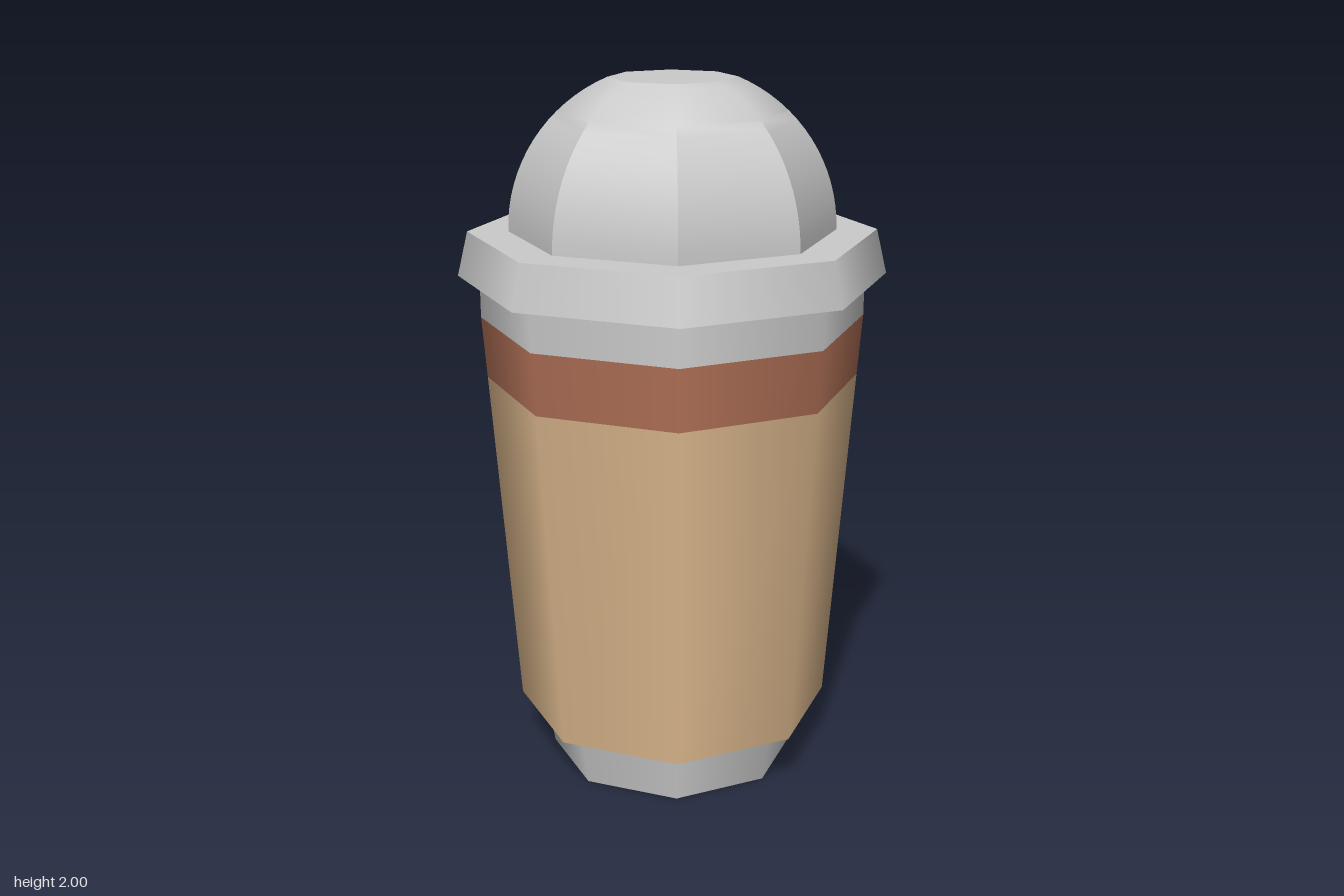
import * as THREE from 'three';
import { toCreasedNormals } from 'three/addons/utils/BufferGeometryUtils.js';

const SIDES = 8;

export function createModel() {
  const model = new THREE.Group();
  model.name = 'takeawayCup';

  const grey = new THREE.MeshStandardMaterial({ color: 0xcccccc });
  const tan = new THREE.MeshStandardMaterial({ color: 0xdbb78c });
  const rust = new THREE.MeshStandardMaterial({ color: 0xb17157 });

  const add = (name, geometry, material) => {
    const mesh = new THREE.Mesh(geometry, material);
    mesh.name = name;
    model.add(mesh);
  };

  // Eight-sided tapered band between two heights
  const band = (name, y0, y1, r0, r1, material, open) => {
    const geometry = new THREE.CylinderGeometry(r1, r0, y1 - y0, SIDES, 1, open);
    geometry.translate(0, (y0 + y1) / 2, 0);
    add(name, geometry, material);
  };

  // Cup, from the foot up to the lid
  band('base', 0, 0.165, 0.36, 0.387, grey, false);
  band('sleeve', 0.165, 1.16, 0.455, 0.527, tan, true);
  band('stripe', 1.16, 1.335, 0.527, 0.54, rust, true);
  band('cupTop', 1.335, 1.455, 0.54, 0.54, grey, true);
  band('lidRim', 1.455, 1.58, 0.6, 0.57, grey, false);

  // Underside step between sleeve and base
  const step = new THREE.RingGeometry(0.385, 0.455, SIDES);
  step.rotateX(Math.PI / 2).translate(0, 0.165, 0);
  add('sleeveUnderside', step, tan);

  // Ribbed dome: ribs are sharp at the foot and fade near the top
  const radius = 0.456;
  const domeBase = 1.58;
  const endAngle = Math.asin((2 - domeBase) / radius);
  const profile = [];
  for (let i = 0; i <= 16; i++) {
    const a = (endAngle * i) / 16;
    profile.push(new THREE.Vector2(radius * Math.cos(a), domeBase + radius * Math.sin(a)));
  }
  const dome = new THREE.LatheGeometry(profile, SIDES);
  add('dome', toCreasedNormals(dome, 0.575), grey);

  // Flat top of the dome
  const top = new THREE.CircleGeometry(radius * Math.cos(endAngle), SIDES);
  top.rotateX(-Math.PI / 2).translate(0, 2, 0);
  add('domeTop', top, grey);

  return model;
}
